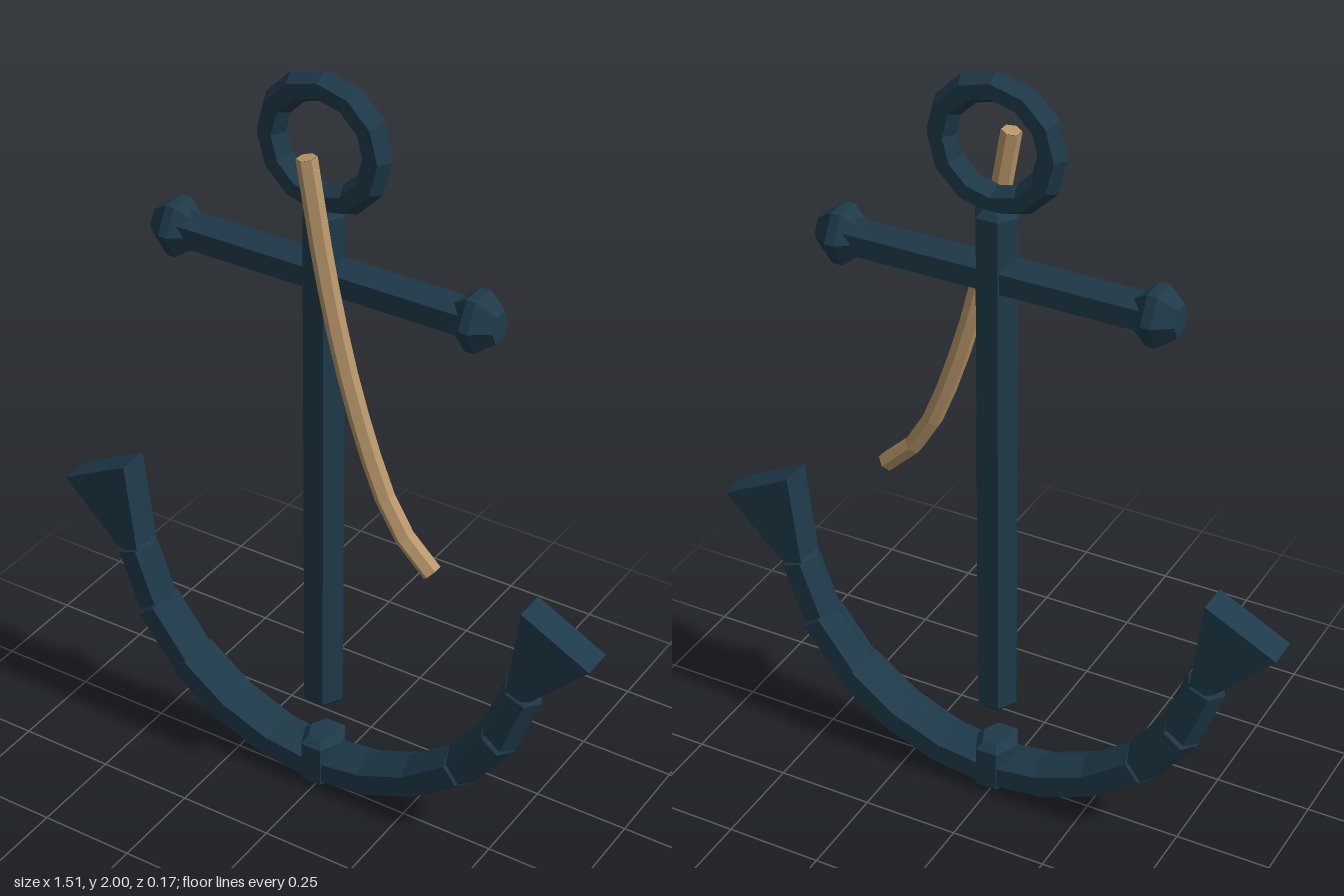
import * as THREE from 'three';

const iron = new THREE.MeshStandardMaterial({ color: 0x1f3a4a, flatShading: true });
const hemp = new THREE.MeshStandardMaterial({ color: 0xb8966a, flatShading: true });

function part(parent, name, geometry, material = iron) {
  const mesh = new THREE.Mesh(geometry, material);
  mesh.name = name;
  parent.add(mesh);
  return mesh;
}

// six-sided turned solid along y, with corners on the x axis
function hexTurned(points) {
  return new THREE.LatheGeometry(points.map(([r, y]) => new THREE.Vector2(r, y)), 6, Math.PI / 2);
}

// six-sided bar along y with chamfered ends
function hexBar(radius, length, bevel = 0.015) {
  const h = length / 2;
  return hexTurned([
    [0, -h], [radius - bevel, -h], [radius, -h + bevel],
    [radius, h - bevel], [radius - bevel, h], [0, h],
  ]);
}

export function createModel() {
  const model = new THREE.Group();
  model.name = 'anchorWithRope';
  const anchor = new THREE.Group();
  anchor.name = 'anchor';
  anchor.position.z = -0.017;
  model.add(anchor);

  // shank
  part(anchor, 'shank', hexBar(0.055, 1.41, 0.018)).position.y = 0.965;

  // ring at the top
  part(anchor, 'ring', new THREE.TorusGeometry(0.14, 0.037, 6, 12)).position.y = 1.823;

  // crossbar with faceted knobs
  const stock = part(anchor, 'crossbar', hexBar(0.052, 0.82));
  stock.rotation.z = Math.PI / 2;
  stock.position.y = 1.495;
  for (const side of [-1, 1]) {
    const knob = part(anchor, 'crossbarKnob', hexTurned([
      [0, -0.057], [0.036, -0.057], [0.068, -0.012], [0.068, 0.012], [0.036, 0.057], [0, 0.057],
    ]).rotateY(Math.PI / 2));
    knob.rotation.z = Math.PI / 2;
    knob.scale.x = 1.12;
    knob.position.set(side * 0.405, 1.495, 0);
  }

  // curved arms made of overlapping segments, slimmer towards the tips
  const R = 0.571, cy = 0.636;
  const bounds = [0, 15, 29, 44, 61, 78].map(THREE.MathUtils.degToRad);
  const radii = [0.056, 0.057, 0.057, 0.055, 0.053];
  const depths = [0.058, 0.059, 0.06, 0.054, 0.046];
  for (const side of [-1, 1]) {
    for (let i = 0; i < radii.length; i++) {
      const mid = (bounds[i] + bounds[i + 1]) / 2;
      const length = 2 * R * Math.sin((bounds[i + 1] - bounds[i]) / 2) + 0.03;
      const segment = part(anchor, 'armSegment', hexBar(radii[i], length, 0.01));
      segment.scale.z = depths[i] / (radii[i] * 0.866);
      segment.position.set(side * R * Math.sin(mid), cy - R * Math.cos(mid), 0);
      segment.rotation.z = side * (mid - Math.PI / 2);
    }
  }

  // crown block where the arms meet
  const crown = part(anchor, 'crown', hexBar(0.056, 0.146, 0.018));
  crown.scale.z = 1.26;
  crown.position.y = 0.083;

  // flared flukes
  for (const side of [-1, 1]) {
    const outline = [[0.535, 0.5], [0.605, 0.53], [0.755, 0.68], [0.57, 0.775]];
    const shape = new THREE.Shape(outline.map(([x, y]) => new THREE.Vector2(side * x, y)));
    const geometry = new THREE.ExtrudeGeometry(shape, { depth: 0.084, bevelEnabled: false });
    part(anchor, 'fluke', geometry.translate(0, 0, -0.042));
  }

  // loose rope hanging in front
  const path = new THREE.CatmullRomCurve3([
    [0.003, 1.822], [0.058, 1.52], [0.132, 1.23], [0.225, 0.98], [0.28, 0.895], [0.35, 0.83],
  ].map(([x, y]) => new THREE.Vector3(x, y, 0.06)));
  const rope = new THREE.Group();
  rope.name = 'rope';
  model.add(rope);
  part(rope, 'ropeStrand', new THREE.TubeGeometry(path, 10, 0.025, 6), hemp);
  for (const t of [0, 1]) {
    const cap = part(rope, 'ropeEnd', new THREE.CircleGeometry(0.024, 6), hemp);
    const end = path.getPointAt(t);
    cap.position.copy(end);
    cap.lookAt(end.clone().addScaledVector(path.getTangentAt(t), t ? 1 : -1));
  }
  return model;
}
